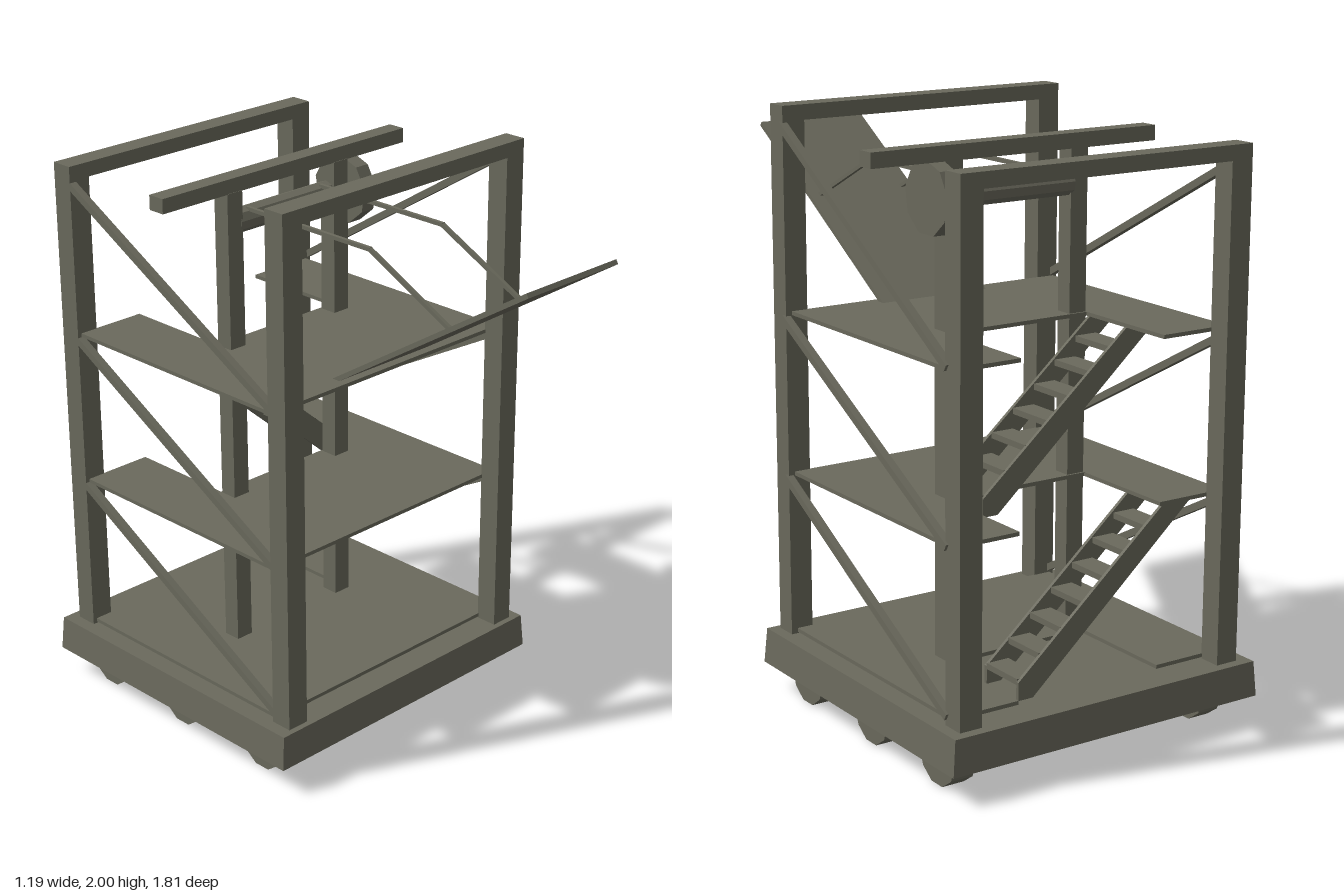
import * as THREE from 'three';

export function createModel() {
  const model = new THREE.Group();
  model.name = 'siegeTower';
  const wood = new THREE.MeshStandardMaterial({ color: 0x6a695c, flatShading: true });
  wood.name = 'weathered wood';

  const add = (name, geo, parent = model) => {
    const mesh = new THREE.Mesh(geo, wood);
    mesh.name = name;
    parent.add(mesh);
    return mesh;
  };
  // Box given by its limits on each axis
  const box = (name, x0, x1, y0, y1, z0, z1, parent) => {
    const geo = new THREE.BoxGeometry(x1 - x0, y1 - y0, z1 - z0);
    geo.translate((x0 + x1) / 2, (y0 + y1) / 2, (z0 + z1) / 2);
    return add(name, geo, parent);
  };
  // Bar running in the y-z plane between two [y, z] points
  const bar = (name, x, width, thick, [y0, z0], [y1, z1]) => {
    const dy = y1 - y0, dz = z1 - z0;
    const geo = new THREE.BoxGeometry(width, thick, Math.hypot(dy, dz));
    geo.rotateX(-Math.atan2(dy, dz));
    geo.translate(x, (y0 + y1) / 2, (z0 + z1) / 2);
    return add(name, geo);
  };
  // Cylinder lying along x
  const disc = (name, r, sides, x0, x1, y, z, turn = 0) => {
    const geo = new THREE.CylinderGeometry(r, r, x1 - x0, sides);
    geo.rotateZ(Math.PI / 2).rotateX(turn).translate((x0 + x1) / 2, y, z);
    return add(name, geo);
  };

  // Wheeled base, slightly narrower at the top
  const baseGeo = new THREE.BoxGeometry(1.19, 0.12, 1.16);
  const p = baseGeo.attributes.position;
  for (let i = 0; i < p.count; i++) {
    if (p.getY(i) > 0) {
      p.setX(i, p.getX(i) * 0.983);
      p.setZ(i, p.getZ(i) * 0.99);
    }
  }
  baseGeo.translate(0, 0.16, -0.323);
  baseGeo.computeVertexNormals();
  add('base', baseGeo);
  for (const z of [0.07, -0.335, -0.72]) {
    disc('wheel', 0.097, 10, -0.52, -0.44, 0.093, z);
    disc('wheel', 0.097, 10, 0.455, 0.535, 0.093, z);
  }

  // Corner posts, inner posts and top beams
  for (const [x0, x1] of [[-0.54, -0.46], [0.465, 0.545]]) {
    box('frontPost', x0, x1, 0.22, 1.95, 0.152, 0.23);
    box('backPost', x0, x1, 0.22, 1.87, -0.862, -0.783);
  }
  for (const [x0, x1] of [[-0.27, -0.205], [0.21, 0.275]]) {
    box('innerPost', x0, x1, 0.22, 1.87, -0.378, -0.315);
  }
  box('frontBeam', -0.54, 0.545, 1.95, 2.0, 0.152, 0.23);
  box('middleBeam', -0.54, 0.545, 1.868, 1.918, -0.38, -0.317);
  box('backBeam', -0.54, 0.545, 1.868, 1.918, -0.862, -0.783);

  // Diagonal braces: falling to the back on one side, rising on the other
  for (const [low, frontHigh, backHigh] of [[0.25, 0.77, 0.77], [0.79, 1.31, 1.31], [1.34, 1.94, 1.855]]) {
    bar('leftBrace', 0.541, 0.026, 0.024, [frontHigh, 0.165], [low, -0.795]);
    bar('rightBrace', -0.527, 0.026, 0.024, [low, 0.165], [backHigh, -0.795]);
  }

  // Floors with a stairwell open at the back
  const plan = new THREE.Shape([
    [-0.525, -0.155], [0.522, -0.155], [0.522, 0.785], [0.275, 0.785],
    [0.275, 0.385], [-0.27, 0.385], [-0.27, 0.785], [-0.525, 0.785],
  ].map(([x, y]) => new THREE.Vector2(x, y)));
  for (const y of [0.225, 0.775, 1.318]) {
    const geo = new THREE.ExtrudeGeometry(plan, { depth: 0.013, bevelEnabled: false });
    geo.rotateX(-Math.PI / 2).translate(0, y, 0);
    add('floor', geo);
  }

  // Stairs: two side boards and seven treads each
  const board = new THREE.Shape([
    [-0.39, 0.54], [-0.28, 0.54], [0.275, 0.06], [0.275, 0], [0.22, 0],
  ].map(([x, y]) => new THREE.Vector2(x, y)));
  const stairs = (y, zBack, zFront) => {
    const group = new THREE.Group();
    group.name = 'stairs';
    group.position.y = y;
    for (const z of [zBack, zFront - 0.012]) {
      const geo = new THREE.ExtrudeGeometry(board, { depth: 0.012, bevelEnabled: false });
      add('sideBoard', geo.translate(0, 0, z), group);
    }
    for (let k = 0; k < 7; k++) {
      const x = -0.3 + k * 0.082, top = 0.48 - k * 0.0685;
      box('tread', x, x + 0.082, top - 0.02, top, zBack + 0.01, zFront - 0.01, group);
    }
    model.add(group);
  };
  stairs(0.237, -0.785, -0.6);
  stairs(0.78, -0.588, -0.383);

  // Raised boarding ramp with its two ropes
  bar('ramp', 0.004, 0.41, 0.016, [1.308, 0.072], [1.832, 0.902]);
  for (const x of [-0.16, 0.17]) {
    bar('rope', x, 0.013, 0.013, [1.62, 0.57], [1.793, 0.22]);
    bar('rope', x, 0.013, 0.013, [1.793, 0.225], [1.793, -0.34]);
  }

  // Winding axle and its wheel
  disc('axle', 0.042, 9, -0.212, 0.28, 1.757, -0.352, -Math.PI / 2);
  disc('windingWheel', 0.12, 9, 0.275, 0.33, 1.755, -0.352, -Math.PI / 2);

  return model;
}
